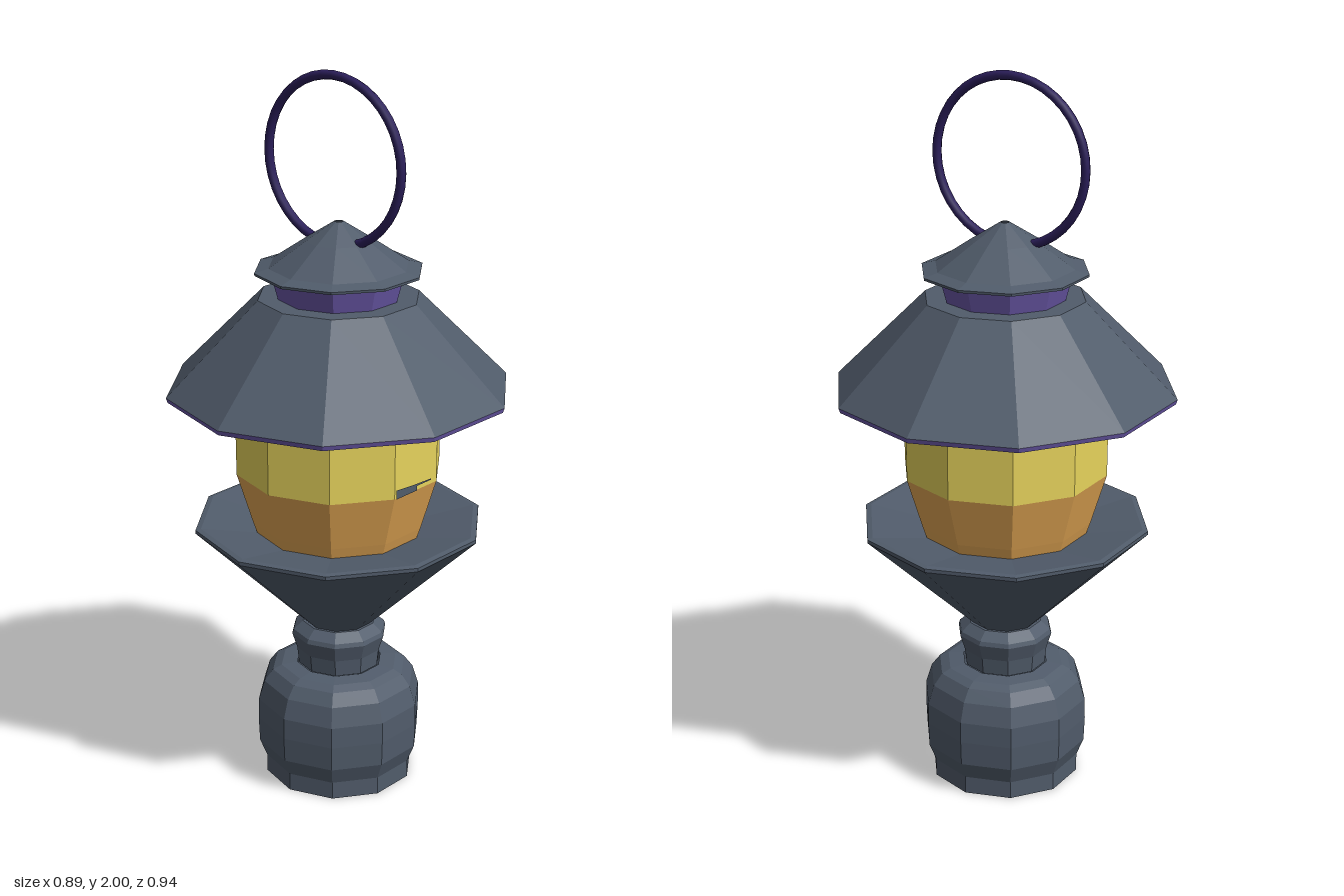
import * as THREE from 'three';

const mat = (name, color) => {
  const m = new THREE.MeshStandardMaterial({ color, side: THREE.DoubleSide });
  m.name = name;
  return m;
};

export function createModel() {
  const lantern = new THREE.Group();
  lantern.name = 'lantern';

  const slate = mat('slate metal', 0x515c6b);
  const purple = mat('purple trim', 0x6a58a8);
  const yellow = mat('yellow glass', 0xe6d35c);
  const orange = mat('orange glass', 0xe2a654);
  const darkPurple = mat('dark purple handle', 0x2c1f5c);

  // Ten-sided faceted shell from a list of [radius, height]
  function shell(name, profile, material) {
    const points = profile.map(([r, y]) => new THREE.Vector2(r, y));
    const geometry = new THREE.LatheGeometry(points, 10).toNonIndexed();
    geometry.computeVertexNormals();
    const mesh = new THREE.Mesh(geometry, material);
    mesh.name = name;
    lantern.add(mesh);
    return mesh;
  }

  // Hollow foot and neck
  shell('base', [[0.21, 0], [0.21, 0.05], [0.23, 0.1], [0.233, 0.17], [0.232, 0.23],
    [0.215, 0.285], [0.19, 0.318], [0.165, 0.33], [0.12, 0.335]], slate);
  shell('neck', [[0.115, 0.333], [0.12, 0.38], [0.134, 0.425], [0.13, 0.437],
    [0.103, 0.46], [0.08, 0.46]], slate);

  // Flared bowl with a shallow dish on top
  shell('bowl', [[0.07, 0.455], [0.095, 0.46], [0.4, 0.752], [0.4, 0.762],
    [0.385, 0.765], [0.22, 0.738]], slate);

  // Glass globe in colour bands
  shell('lowerGlass', [[0.228, 0.735], [0.24, 0.77], [0.284, 0.915]], orange);
  shell('middleGlass', [[0.284, 0.915], [0.285, 1.08], [0.272, 1.12]], yellow);
  shell('upperGlass', [[0.272, 1.12], [0.26, 1.15], [0.18, 1.25]], orange);

  // Small dark chip on the side of the globe
  const chipShape = new THREE.Shape([[-0.085, 0.915], [0, 0.915], [0, 0.928], [0.06, 0.928],
    [0.06, 0.932], [0, 0.934], [-0.085, 0.94]].map(([x, y]) => new THREE.Vector2(x, y)));
  const chip = new THREE.Mesh(new THREE.ShapeGeometry(chipShape), slate);
  chip.name = 'glassChip';
  chip.rotation.y = Math.PI / 2;
  chip.position.x = 0.274;
  lantern.add(chip);

  // Wide roof with a thin coloured rim
  shell('roof', [[0.47, 1.148], [0.22, 1.4], [0.16, 1.4]], slate);
  shell('roofLining', [[0.458, 1.138], [0.205, 1.385]], slate);
  shell('roofRim', [[0.458, 1.138], [0.466, 1.135], [0.47, 1.148]], purple);

  // Collar and pointed cap
  shell('collar', [[0.165, 1.4], [0.18, 1.455], [0.227, 1.468]], purple);
  shell('cap', [[0.227, 1.468], [0.228, 1.475], [0.19, 1.485], [0.09, 1.553], [0.012, 1.603]], slate);

  // Carrying ring
  const ring = new THREE.Mesh(new THREE.TorusGeometry(0.224, 0.0125, 8, 40), darkPurple);
  ring.name = 'handleRing';
  ring.position.set(-0.008, 1.763, 0.012);
  ring.rotation.y = 0.018;
  lantern.add(ring);

  return lantern;
}
